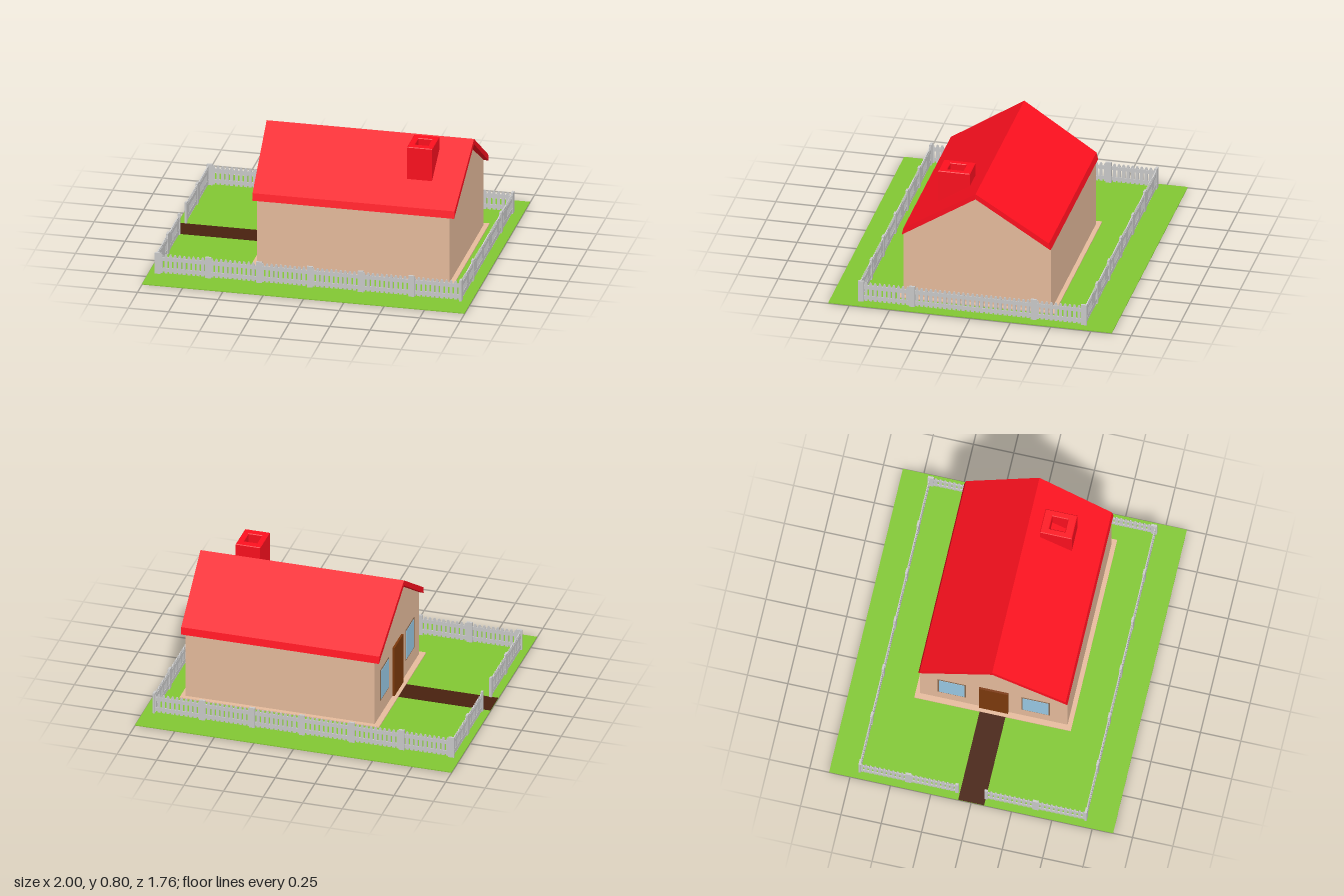
import * as THREE from 'three';
import { mergeGeometries } from 'three/addons/utils/BufferGeometryUtils.js';

const mat = (color) => new THREE.MeshStandardMaterial({ color, flatShading: true });
const RED = mat(0xff101f), TAN = mat(0xe8bd9e), GREEN = mat(0x83c933), PATH = mat(0x49210f);
const DOOR = mat(0x7d3a0c), FRAME = mat(0x8a6a50), GLASS = mat(0x9acae6), GREY = mat(0xcccccc);

function add(parent, name, geometry, material) {
  const mesh = new THREE.Mesh(geometry, material);
  mesh.name = name;
  parent.add(mesh);
  return mesh;
}

// Box given by its lower and upper corners
function box(x0, x1, y0, y1, z0, z1) {
  return new THREE.BoxGeometry(x1 - x0, y1 - y0, z1 - z0)
    .translate((x0 + x1) / 2, (y0 + y1) / 2, (z0 + z1) / 2);
}

function polygon(points) {
  return new THREE.Shape(points.map(([x, y]) => new THREE.Vector2(x, y)));
}

// Symmetric z/y cross-section extruded along x
function alongX(points, x0, x1) {
  return new THREE.ExtrudeGeometry(polygon(points), { depth: x1 - x0, bevelEnabled: false })
    .rotateY(Math.PI / 2).translate(x0, 0, 0);
}

function rect(Type, x0, x1, y0, y1) {
  return new Type([[x0, y0], [x1, y0], [x1, y1], [x0, y1]].map(([x, y]) => new THREE.Vector2(x, y)));
}

// Straight run of picket fence along x from a to b, with posts at given positions
function fenceRun(a, b, posts, postWidth = 0.036) {
  const parts = [];
  const w = 0.0095, t = 0.006;
  const picket = new THREE.ExtrudeGeometry(
    polygon([[-w, 0.012], [w, 0.012], [w, 0.122], [w * 0.45, 0.135], [-w * 0.45, 0.135], [-w, 0.122]]),
    { depth: t, bevelEnabled: false }).translate(0, 0, -t / 2).toNonIndexed();
  const n = Math.round((b - a) / 0.0286);
  for (let i = 0; i <= n; i++) parts.push(picket.clone().translate(a + (b - a) * i / n, 0, 0));
  for (const y of [0.022, 0.092]) parts.push(box(a, b, y, y + 0.024, -0.004, 0.004).toNonIndexed());
  for (const p of posts) {
    parts.push(box(p - postWidth / 2, p + postWidth / 2, 0.004, 0.142, -0.007, 0.007).toNonIndexed());
  }
  return mergeGeometries(parts);
}

export function createModel() {
  const model = new THREE.Group();
  model.name = 'houseWithGarden';

  // Plot, floor slab and path
  add(model, 'lawn', box(-1, 1, 0.001, 0.006, -0.88, 0.88), GREEN);
  add(model, 'floorSlab', box(-0.42, 0.84, 0, 0.013, -0.485, 0.485), TAN);
  add(model, 'path', box(-1, -0.415, 0.003, 0.009, -0.08, 0.08), PATH);

  // House body with gables
  const house = new THREE.Group();
  house.name = 'house';
  model.add(house);
  const e = 0.457;
  add(house, 'walls', alongX([[-e, 0.01], [e, 0.01], [e, 0.442], [0, 0.738], [-e, 0.442]], -0.385, 0.81), TAN);

  // Roof, with the ends raked inward towards the eaves
  const roof = alongX([[0, 0.77], [-0.452, 0.48], [-0.462, 0.435], [0, 0.735], [0.462, 0.435], [0.452, 0.48]],
    -0.43, 0.856);
  const pos = roof.attributes.position, mid = 0.213;
  for (let i = 0; i < pos.count; i++) {
    const side = Math.sign(pos.getX(i) - mid);
    pos.setX(i, pos.getX(i) - side * 0.017 * Math.abs(pos.getZ(i)) / 0.46);
  }
  roof.computeVertexNormals();
  add(house, 'roof', roof, RED);

  // Hollow chimney
  const flue = rect(THREE.Shape, -0.074, 0.074, -0.095, 0.095);
  flue.holes.push(rect(THREE.Path, -0.045, 0.045, -0.053, 0.053));
  const chimney = new THREE.ExtrudeGeometry(flue,
    { depth: 0.232, bevelThickness: 0.004, bevelSize: 0.004, bevelSegments: 1 });
  chimney.rotateX(-Math.PI / 2).translate(0.582, 0.564, 0.181);
  add(house, 'chimney', chimney, RED);

  // Door and the two windows beside it
  add(house, 'door', box(-0.398, -0.38, 0.012, 0.345, -0.09, 0.09), DOOR);
  for (const s of [-1, 1]) {
    const z = s * 0.26;
    add(house, 'windowFrame', box(-0.388, -0.38, 0.115, 0.325, z - 0.088, z + 0.088), FRAME);
    add(house, 'windowPane', box(-0.39, -0.38, 0.123, 0.317, z - 0.08, z + 0.08), GLASS);
  }

  // Picket fence around the plot, open where the path enters
  const fence = new THREE.Group();
  fence.name = 'fence';
  model.add(fence);
  const longPosts = [-0.944, -0.63, -0.315, 0, 0.315, 0.63];
  for (const [name, z] of [['frontFence', 0.7], ['backFence', -0.7]]) {
    add(fence, name, fenceRun(-0.95, 0.932, longPosts), GREY).position.z = z;
  }
  const turn = (g, x) => g.rotateY(-Math.PI / 2).translate(x, 0, 0);
  add(fence, 'leftFence', turn(fenceRun(-0.69, 0.69, [-0.692, -0.38, 0.375, 0.692]), 0.935), GREY);
  add(fence, 'gateSideFence', turn(fenceRun(-0.69, -0.1, [-0.4]), -0.953), GREY);
  add(fence, 'gateSideFence', turn(fenceRun(0.085, 0.69, [0.39]), -0.953), GREY);
  for (const z of [-0.098, 0.083]) {
    add(fence, 'gatePost', box(-0.96, -0.946, 0.004, 0.142, z - 0.01, z + 0.01), GREY);
  }
  return model;
}
